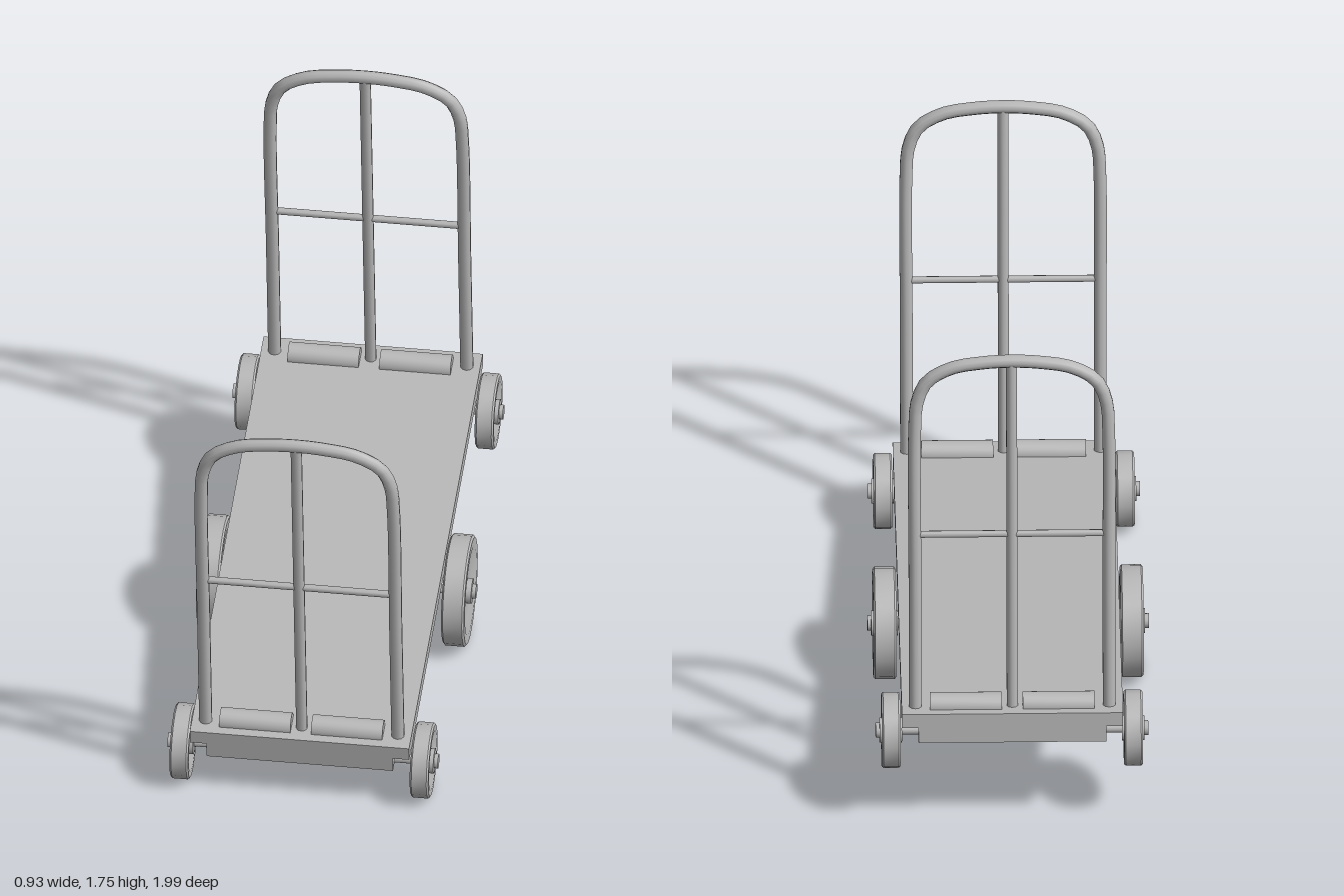
import * as THREE from 'three';
import { toCreasedNormals } from 'three/addons/utils/BufferGeometryUtils.js';

const grey = new THREE.MeshStandardMaterial({ color: 0xb8b8b8 });
grey.name = 'grey metal';

function add(parent, name, geometry, x = 0, y = 0, z = 0) {
  const mesh = new THREE.Mesh(geometry, grey);
  mesh.name = name;
  mesh.position.set(x, y, z);
  parent.add(mesh);
  return mesh;
}

// cylinder lying along x
const rod = (r, length, sides = 12) =>
  new THREE.CylinderGeometry(r, r, length, sides).rotateZ(Math.PI / 2);

// wheel with a shallow dish on each face, axis along x
function wheelGeometry(r, width, sides) {
  const h = width / 2;
  const half = [[0, h - 0.012], [r * 0.6, h - 0.012], [r * 0.8, h], [r * 0.96, h], [r, h - 0.006]];
  const points = [
    ...half.map(([x, y]) => new THREE.Vector2(x, -y)),
    ...half.slice().reverse().map(([x, y]) => new THREE.Vector2(x, y)),
  ];
  return toCreasedNormals(new THREE.LatheGeometry(points, sides).rotateZ(-Math.PI / 2), 0.5);
}

// axle with a wheel, hub ring and end cap on both sides
function wheelSet(name, { r, width, x, end, y, z, sides }) {
  const group = new THREE.Group();
  group.name = name;
  group.position.set(0, y, z);
  add(group, 'axle', rod(0.016, end * 2 - 0.02));
  for (const s of [-1, 1]) {
    add(group, 'wheel', wheelGeometry(r, width, sides), s * x);
    add(group, 'hub', rod(0.042, width + 0.012, 16), s * x);
    add(group, 'axleCap', rod(0.025, 0.05, 12), s * (end - 0.025));
  }
  return group;
}

// arched push handle with a centre post and a crossbar
function handle(name, z) {
  const group = new THREE.Group();
  group.name = name;
  group.position.z = z;
  const left = [[-0.32, -0.02], [-0.32, 0.5], [-0.32, 1.03], [-0.312, 1.14],
    [-0.28, 1.215], [-0.2, 1.265], [-0.1, 1.284]];
  const right = left.slice().reverse().map(([x, y]) => [-x, y]);
  const path = new THREE.CatmullRomCurve3(
    [...left, [0, 1.29], ...right].map(([x, y]) => new THREE.Vector3(x, y, 0)));
  add(group, 'archTube', new THREE.TubeGeometry(path, 80, 0.022, 10));
  add(group, 'centrePost', new THREE.CylinderGeometry(0.019, 0.019, 1.3, 10), 0, 0.64, 0);
  add(group, 'crossbar', rod(0.012, 0.64, 8), 0, 0.643, 0);
  return group;
}

export function createModel() {
  const model = new THREE.Group();
  model.name = 'platformTrolley';

  // the whole trolley tips forward onto its front and middle wheels
  const body = new THREE.Group();
  body.name = 'tiltedBody';
  body.position.set(0, 0.357, -0.045);
  body.rotation.x = 0.111;
  model.add(body);

  // deck and narrower frame below
  add(body, 'deck', new THREE.BoxGeometry(0.73, 0.05, 1.89), 0, -0.025, 0);
  add(body, 'underFrame', new THREE.BoxGeometry(0.62, 0.058, 1.89), 0, -0.078, 0);

  // handles and the half-round clamps at their feet
  for (const s of [-1, 1]) {
    body.add(handle(s > 0 ? 'frontHandle' : 'backHandle', s * 0.883));
    for (const side of [-1, 1]) {
      add(body, 'handleClamp', toCreasedNormals(rod(0.04, 0.237, 20), 0.6), side * 0.153, 0, s * 0.874);
    }
  }

  // two small wheel pairs and a large middle pair
  const small = { r: 0.126, width: 0.062, x: 0.4, end: 0.45, sides: 16 };
  body.add(wheelSet('frontWheels', { ...small, y: -0.133, z: 0.855 }));
  body.add(wheelSet('backWheels', { ...small, y: -0.129, z: -0.811 }));
  body.add(wheelSet('middleWheels', { r: 0.186, width: 0.076, x: 0.408, end: 0.465, sides: 24, y: -0.168, z: 0.004 }));

  return model;
}
